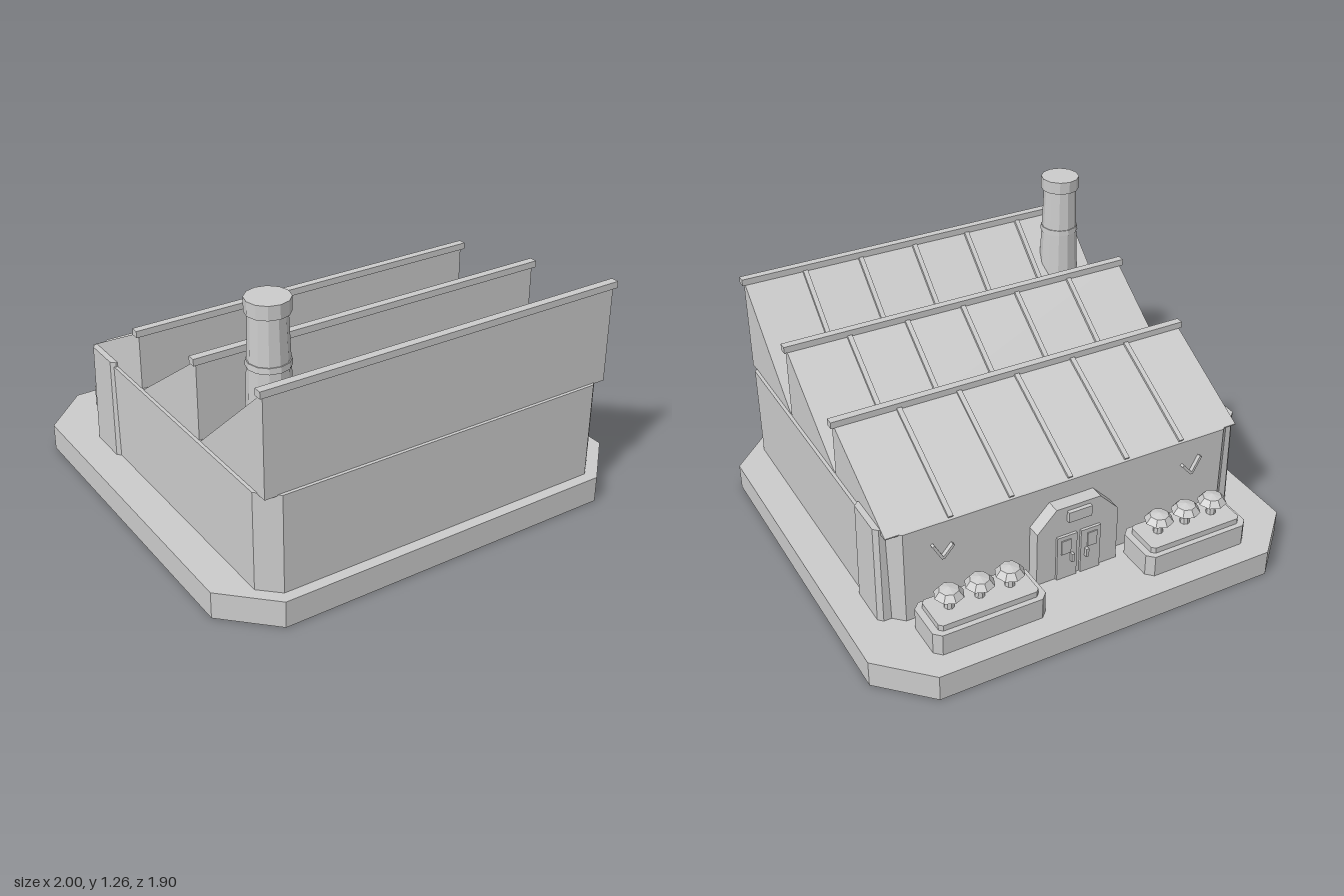
import * as THREE from 'three';

// Double-sided because the base is an open shell underneath
const gray = new THREE.MeshStandardMaterial({ color: 0xcccccc, side: THREE.DoubleSide });
gray.name = 'plain gray';

export function createModel() {
  const root = new THREE.Group();
  root.name = 'sawtoothFactory';

  const add = (name, geo, x = 0, y = 0, z = 0, parent = root) => {
    const flat = geo.index ? geo.toNonIndexed() : geo;
    flat.computeVertexNormals();
    const mesh = new THREE.Mesh(flat, gray);
    mesh.name = name;
    mesh.position.set(x, y, z);
    parent.add(mesh);
    return mesh;
  };
  const box = (name, w, h, d, x, y, z, parent) =>
    add(name, new THREE.BoxGeometry(w, h, d), x, y, z, parent);
  const poly = (pts) => new THREE.Shape(pts.map(([a, b]) => new THREE.Vector2(a, b)));

  // Outline with four cut corners
  const octagon = (w, d, cx, cz) => {
    const a = w / 2, b = d / 2;
    return poly([[a - cx, -b], [a, cz - b], [a, b - cz], [a - cx, b],
      [cx - a, b], [-a, b - cz], [-a, cz - b], [cx - a, -b]]);
  };
  // Upright prism on that outline; y is its underside, taper scales its top
  const slab = (name, w, h, d, cx, cz, x, y, z, parent = root, taper = 1) => {
    const geo = new THREE.ExtrudeGeometry(octagon(w, d, cx, cz), { depth: h, bevelEnabled: false });
    geo.rotateX(-Math.PI / 2);
    const p = geo.attributes.position;
    for (let i = 0; i < p.count; i++) {
      const k = p.getY(i) > h / 2 ? taper : 1;
      p.setXYZ(i, p.getX(i) * k, p.getY(i), p.getZ(i) * k);
    }
    return add(name, geo, x, y, z, parent);
  };

  // Base: a top plate and a rim of walls, open below
  const outline = octagon(2, 1.9, 0.21, 0.205);
  const plate = new THREE.ShapeGeometry(outline);
  plate.rotateX(-Math.PI / 2);
  add('baseTop', plate, 0, 0.12, 0);
  const corners = outline.getPoints();
  const rim = [];
  corners.forEach((p, i) => {
    const q = corners[(i + 1) % corners.length];
    rim.push(p.x, 0, -p.y, q.x, 0, -q.y, q.x, 0.12, -q.y);
    rim.push(p.x, 0, -p.y, q.x, 0.12, -q.y, p.x, 0.12, -p.y);
  });
  const rimGeo = new THREE.BufferGeometry();
  rimGeo.setAttribute('position', new THREE.Float32BufferAttribute(rim, 3));
  add('baseRim', rimGeo);

  // Main hall
  slab('hall', 1.7, 0.44, 1.5, 0.085, 0.08, 0, 0.12, 0.15);

  // Three sawtooth roofs: peak z, peak y, foot z
  const teeth = [[0.886, 1.0, 0.4], [0.391, 0.91, -0.095], [-0.105, 0.82, -0.59]];
  for (const [pz, py, fz] of teeth) {
    const tooth = new THREE.Group();
    tooth.name = 'roofTooth';
    root.add(tooth);
    const geo = new THREE.ExtrudeGeometry(poly([[pz, 0.555], [pz, py], [fz, 0.56], [fz, 0.555]]),
      { depth: 1.67, bevelEnabled: false });
    geo.translate(0, 0, -0.835).rotateY(-Math.PI / 2);
    add('toothBody', geo, 0, 0, 0, tooth);
    box('ridgeCap', 1.7, 0.03, 0.036, 0, py, pz - 0.008, tooth);
    // Raised seams down the slope
    const run = pz - fz, rise = py - 0.56;
    for (const x of [-0.55, -0.275, 0, 0.275, 0.55]) {
      const seam = box('roofSeam', 0.022, 0.026, Math.hypot(run, rise) - 0.03, x, (py + 0.56) / 2 - 0.008, (pz + fz) / 2 - 0.01, tooth);
      seam.rotation.x = -Math.atan2(rise, run);
    }
  }

  // Chimney with a band and a cap
  const chimney = new THREE.Group();
  chimney.name = 'chimney';
  chimney.position.set(-0.688, 0, 0.688);
  root.add(chimney);
  add('chimneyShaft', new THREE.CylinderGeometry(0.075, 0.1, 0.62, 12), 0, 0.9, 0, chimney);
  add('chimneyBand', new THREE.CylinderGeometry(0.087, 0.089, 0.025, 12), 0, 1.0, 0, chimney);
  add('chimneyCap', new THREE.CylinderGeometry(0.089, 0.089, 0.058, 12), 0, 1.232, 0, chimney);

  // Entrance on the back wall
  const entrance = new THREE.Group();
  entrance.name = 'entrance';
  entrance.position.z = -0.6;
  entrance.rotation.y = Math.PI;
  root.add(entrance);
  const portal = poly([[-0.195, 0.12], [0.195, 0.12], [0.195, 0.385], [0.105, 0.48], [-0.105, 0.48], [-0.195, 0.385]]);
  add('portal', new THREE.ExtrudeGeometry(portal, { depth: 0.062, bevelEnabled: false }), 0, 0, 0, entrance);
  box('entranceSign', 0.11, 0.05, 0.03, 0, 0.435, 0.065, entrance);
  for (const s of [-1, 1]) {
    box('door', 0.095, 0.22, 0.02, s * 0.057, 0.23, 0.064, entrance);
    box('doorPanel', 0.045, 0.07, 0.006, s * 0.063, 0.285, 0.076, entrance);
    box('doorHandle', 0.014, 0.04, 0.018, s * 0.035, 0.225, 0.081, entrance);
  }

  for (const s of [-1, 1]) {
    // Tapered corner piers at the back
    slab('cornerPier', 0.15, 0.46, 0.222, 0.02, 0.02, s * 0.791, 0.12, -0.446, root, 0.94);
    // V-shaped wall brackets
    for (const [dx, dy, tilt, len] of [[0.023, 0.43, -0.5, 0.088], [-0.023, 0.42, 0.72, 0.07]]) {
      const bar = box('wallBracket', 0.012, len, 0.02, s * (0.598 + dx), dy, -0.608);
      bar.rotation.z = s * tilt;
    }
    // Planter with three round-topped plants
    const planter = new THREE.Group();
    planter.name = 'planter';
    planter.position.set(s * 0.497, 0, -0.736);
    root.add(planter);
    slab('planterBox', 0.51, 0.1, 0.222, 0.03, 0.03, 0, 0.12, 0, planter);
    slab('planterSoil', 0.45, 0.027, 0.175, 0.015, 0.015, 0, 0.22, 0, planter);
    for (const x of [-0.137, 0, 0.137]) {
      add('plantStem', new THREE.CylinderGeometry(0.016, 0.023, 0.08, 8), x, 0.28, 0.006, planter);
      const profile = [[0, 0.312], [0.064, 0.308], [0.042, 0.336], [0, 0.346]];
      add('plantTop', new THREE.LatheGeometry(profile.map(([r, y]) => new THREE.Vector2(r, y)), 8), x, 0, 0.006, planter);
    }
  }
  return root;
}
